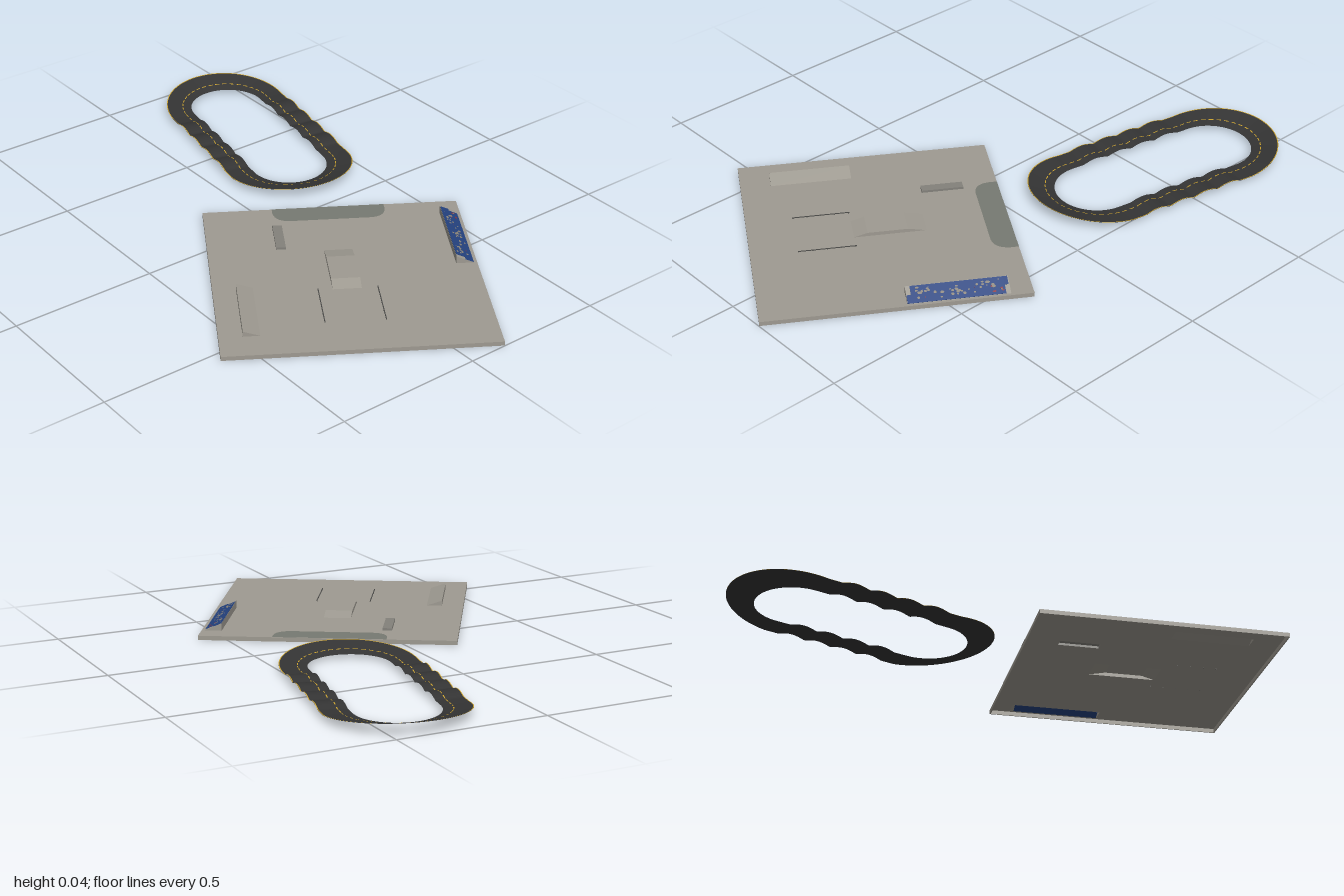
import * as THREE from 'three';

const DS = THREE.DoubleSide;
const mat = (name, color, side = THREE.FrontSide) => {
  const m = new THREE.MeshStandardMaterial({ color, side });
  m.name = name;
  return m;
};
const concrete = mat('concrete', 0x9e9a91, DS);
const bowlGrey = mat('bowlGrey', 0x777a72, DS);
const ledgeGrey = mat('ledgeGrey', 0x83817b, DS);
const railSteel = mat('railSteel', 0x4a4a48);
const asphalt = mat('asphalt', 0x343434, DS);
const yellow = mat('yellow', 0xc9a02c, DS);
const blue = mat('blue', 0x24427f);
const tan = mat('tan', 0x8b857b);
const red = mat('red', 0x8a3440);

const TOP = 0.0146; // height of the slab surface

function add(parent, name, geometry, material, x = 0, y = 0, z = 0) {
  const m = new THREE.Mesh(geometry, material);
  m.name = name;
  m.position.set(x, y, z);
  parent.add(m);
  return m;
}
const box = (w, h, d) => new THREE.BoxGeometry(w, h, d);

// Open-bottomed prism: a profile running left to right, swept from z0 to z1
function shell(profile, z0, z1) {
  const v = [];
  const put = (p, z) => v.push(p[0], p[1], z);
  for (let i = 0; i < profile.length - 1; i++) {
    const p = profile[i], q = profile[i + 1];
    put(p, z0); put(p, z1); put(q, z1);
    put(p, z0); put(q, z1); put(q, z0);
    if (i > 0) {
      put(profile[0], z1); put(q, z1); put(p, z1);
      put(profile[0], z0); put(p, z0); put(q, z0);
    }
  }
  const g = new THREE.BufferGeometry();
  g.setAttribute('position', new THREE.Float32BufferAttribute(v, 3));
  g.computeVertexNormals();
  return g;
}
const wedge = (x0, x1, z0, z1, h) => shell([[x0, TOP], [x0, h], [x1, TOP]], z0, z1);

function buildPark() {
  const park = new THREE.Group();
  park.name = 'skatePark';
  park.position.set(-0.01, 0, 0.405);
  park.rotation.y = -0.557;
  const hx = 0.436, hz = 0.428;

  // slab surface, open underneath the obstacles
  const rect = (P, x0, x1, z0, z1) => {
    const p = new P();
    p.moveTo(x0, -z0);
    p.lineTo(x0, -z1);
    p.lineTo(x1, -z1);
    p.lineTo(x1, -z0);
    p.closePath();
    return p;
  };
  const top = rect(THREE.Shape, -hx, hx, -hz, hz);
  [[-0.36, -0.306, 0.054, 0.326], [0.367, 0.426, -0.356, -0.03],
    [-0.053, 0.041, -0.15, 0.087], [-0.209, -0.177, -0.309, -0.168]]
    .forEach((r) => top.holes.push(rect(THREE.Path, ...r)));
  add(park, 'slabTop', new THREE.ShapeGeometry(top).rotateX(-Math.PI / 2), concrete, 0, TOP, 0);
  for (const s of [-1, 1]) {
    add(park, 'slabEdge', box(0.004, TOP, hz * 2), concrete, s * (hx - 0.002), TOP / 2, 0);
    add(park, 'slabEdge', box(hx * 2, TOP, 0.004), concrete, 0, TOP / 2, s * (hz - 0.002));
  }

  // bank ramps
  add(park, 'plainRamp', wedge(-0.36, -0.306, 0.054, 0.326, 0.033), concrete);
  add(park, 'paintedRamp', wedge(0.367, 0.426, -0.356, -0.03, 0.0405), concrete);

  // painted blotches on the ramp face
  const paint = new THREE.Group();
  paint.name = 'rampPaint';
  paint.position.set(0.3965, (0.0405 + TOP) / 2 + 0.0005, -0.193);
  paint.rotation.z = -Math.atan2(0.0405 - TOP, 0.059);
  park.add(paint);
  add(paint, 'blueField', box(0.062, 0.001, 0.296), blue, 0, 0, 0);
  add(paint, 'blueField', box(0.03, 0.001, 0.014), blue, 0.016, 0, 0.155);
  add(paint, 'blueField', box(0.03, 0.001, 0.012), blue, -0.016, 0, -0.154);
  let seed = 11;
  const rnd = () => (seed = (seed * 16807) % 2147483647) / 2147483647;
  for (let i = 0; i < 42; i++) {
    const blotch = new THREE.CylinderGeometry(1, 1, 0.001, 6);
    const r = 0.0018 + rnd() * 0.0035;
    const m = add(paint, 'blotch', blotch, i % 7 === 0 ? red : tan,
      (rnd() - 0.5) * 0.046, 0.0004, (rnd() - 0.5) * 0.28);
    m.scale.set(r, 1, r * (0.8 + rnd()));
  }

  // central box with a ramp at each end
  const fun = add(park, 'funBox', shell(
    [[-0.15, TOP], [-0.09, 0.027], [0.043, 0.027], [0.087, TOP]], -0.041, 0.053), concrete);
  fun.rotation.y = -Math.PI / 2;

  // low ledge
  add(park, 'ledge', shell(
    [[-0.209, TOP], [-0.209, 0.0225], [-0.177, 0.0225], [-0.177, TOP]], -0.309, -0.168), ledgeGrey);

  // rounded bank at the back edge
  const b = new THREE.Shape();
  b.moveTo(-0.2, hz);
  b.lineTo(-0.2, 0.4);
  b.quadraticCurveTo(-0.195, 0.345, -0.14, 0.345);
  b.lineTo(0.125, 0.345);
  b.quadraticCurveTo(0.18, 0.345, 0.185, 0.4);
  b.lineTo(0.185, hz);
  add(park, 'backBank', new THREE.ShapeGeometry(b).rotateX(-Math.PI / 2), bowlGrey, 0, TOP + 0.0008, 0);

  // grind rails on short posts
  for (const x of [-0.1, 0.0925]) {
    add(park, 'rail', box(0.003, 0.0018, 0.19), railSteel, x, 0.018, 0.18);
    for (let i = 0; i < 5; i++) {
      add(park, 'railPost', box(0.0025, 0.006, 0.0025), railSteel, x, 0.0155, 0.088 + i * 0.046);
    }
  }
  return park;
}

// Oval pump track: banked ends, rollers on the straights
const HALF = 0.247, R_IN = 0.136, R_OUT = 0.2275, R_MID = 0.18;
const ARC = Math.PI * R_MID, LEN = 2 * (ARC + 2 * HALF);

function trackPoint(s, r, lift) {
  s = ((s % LEN) + LEN) % LEN;
  const half = LEN / 2;
  const sign = s < half ? 1 : -1;
  const d = s % half;
  const w = (r - R_IN) / (R_OUT - R_IN);
  let x, z, y = 0.012 + lift;
  if (d < ARC) {
    const a = d / R_MID;
    x = r * Math.cos(a);
    z = -HALF - r * Math.sin(a);
    y += w * (0.003 + 0.0245 * Math.sin(a));
  } else {
    const k = (d - ARC) / (2 * HALF);
    x = -r;
    z = -HALF + k * 2 * HALF;
    const t = (k - 0.1) / 0.8;
    y += w * 0.003;
    if (t > 0 && t < 1) y += 0.01 * Math.abs(Math.sin(t * Math.PI * 4));
  }
  return [x * sign, y, z * sign];
}

function ribbon(r0, r1, s0, s1, n, lift = 0) {
  const v = [], idx = [];
  for (let i = 0; i <= n; i++) {
    const s = s0 + ((s1 - s0) * i) / n;
    v.push(...trackPoint(s, r0, lift), ...trackPoint(s, r1, lift));
    if (i < n) {
      const a = i * 2;
      idx.push(a, a + 1, a + 2, a + 1, a + 3, a + 2);
    }
  }
  const g = new THREE.BufferGeometry();
  g.setAttribute('position', new THREE.Float32BufferAttribute(v, 3));
  g.setIndex(idx);
  g.computeVertexNormals();
  return g;
}

function buildTrack() {
  const track = new THREE.Group();
  track.name = 'ovalTrack';
  track.position.set(0.336, 0, -0.53);
  track.rotation.y = -0.1795;
  add(track, 'roadSurface', ribbon(R_IN, R_OUT, 0, LEN, 320), asphalt);
  add(track, 'edgeLine', ribbon(R_OUT - 0.003, R_OUT, 0, LEN, 320, 0.0008), yellow);
  const dashes = 72;
  for (let i = 0; i < dashes; i++) {
    const s = (i * LEN) / dashes;
    add(track, 'centreDash', ribbon(0.166, 0.1695, s, s + (LEN / dashes) * 0.62, 4, 0.0008), yellow);
  }
  return track;
}

export function createModel() {
  const model = new THREE.Group();
  model.name = 'skateParkAndTrack';
  model.add(buildPark(), buildTrack());
  return model;
}
